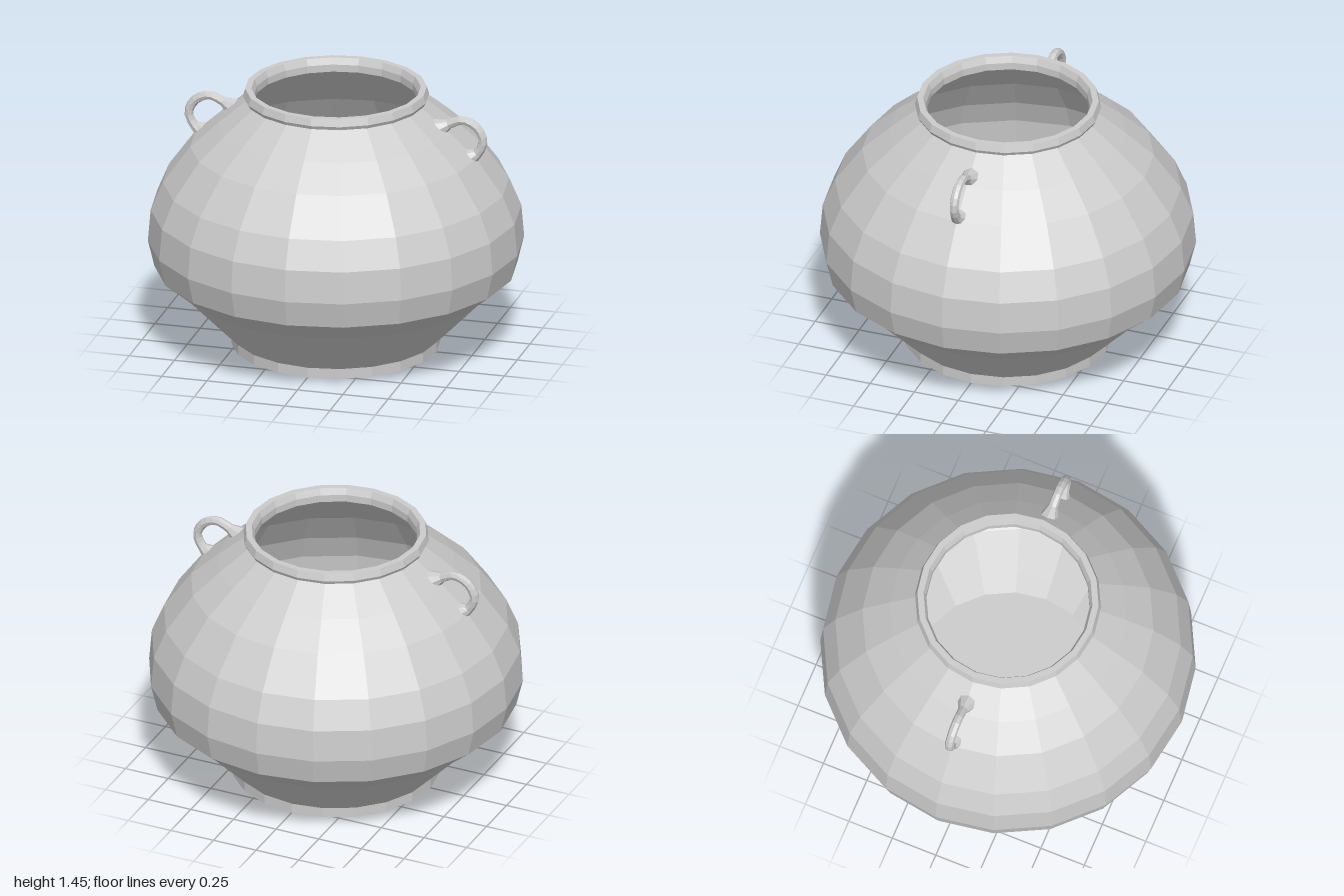
import * as THREE from 'three';

const SIDES = 20;
const material = new THREE.MeshStandardMaterial({ color: 0xcccccc, flatShading: true });

// Turned section of the pot; each profile runs along the visible side
function turned(name, profile) {
  const points = profile.map(([r, y]) => new THREE.Vector2(r, y));
  const mesh = new THREE.Mesh(new THREE.LatheGeometry(points, SIDES), material);
  mesh.name = name;
  return mesh;
}

// Looped handle whose ends flare out where they meet the shoulder
function handle(name, side) {
  const path = new THREE.CatmullRomCurve3([
    [0.565, 1.27], [0.63, 1.305], [0.70, 1.33], [0.775, 1.298],
    [0.812, 1.225], [0.785, 1.155], [0.725, 1.115],
  ].map(([x, y]) => new THREE.Vector3(side * x, y, 0)));
  const steps = 14, ring = 8, radius = 0.025;
  const geometry = new THREE.TubeGeometry(path, steps, radius, ring);
  const pos = geometry.attributes.position;
  const v = new THREE.Vector3();
  for (let i = 0; i < pos.count; i++) {
    const t = Math.floor(i / (ring + 1)) / steps;
    const centre = path.getPointAt(t);
    const flare = 1 + 1.3 * Math.max(0, 1 - Math.min(t, 1 - t) / 0.15);
    v.fromBufferAttribute(pos, i).sub(centre).multiplyScalar(flare).add(centre);
    pos.setXYZ(i, v.x, v.y, v.z);
  }
  geometry.computeVertexNormals();
  const mesh = new THREE.Mesh(geometry, material);
  mesh.name = name;
  return mesh;
}

export function createModel() {
  const pot = new THREE.Group();
  pot.name = 'pot';
  pot.add(
    // Foot ring with a recessed underside
    turned('foot', [[0, 0.04], [0.495, 0.04], [0.495, 0], [0.555, 0], [0.555, 0.055]]),
    // Outer wall
    turned('body', [
      [0.555, 0.055], [0.64, 0.14], [0.825, 0.33], [0.965, 0.445], [1, 0.59],
      [0.985, 0.765], [0.92, 0.92], [0.775, 1.12], [0.63, 1.25], [0.47, 1.38],
    ]),
    // Rolled lip
    turned('rim', [
      [0.47, 1.38], [0.485, 1.385], [0.495, 1.405], [0.483, 1.445], [0.45, 1.445], [0.435, 1.41],
    ]),
    // Inside wall and floor
    turned('interior', [
      [0.435, 1.41], [0.435, 1.37], [0.6, 1.225], [0.74, 1.1], [0.88, 0.9], [0.94, 0.755],
      [0.955, 0.6], [0.925, 0.475], [0.79, 0.365], [0.61, 0.175], [0.53, 0.09], [0, 0.09],
    ]),
    handle('leftHandle', 1),
    handle('rightHandle', -1),
  );
  return pot;
}
